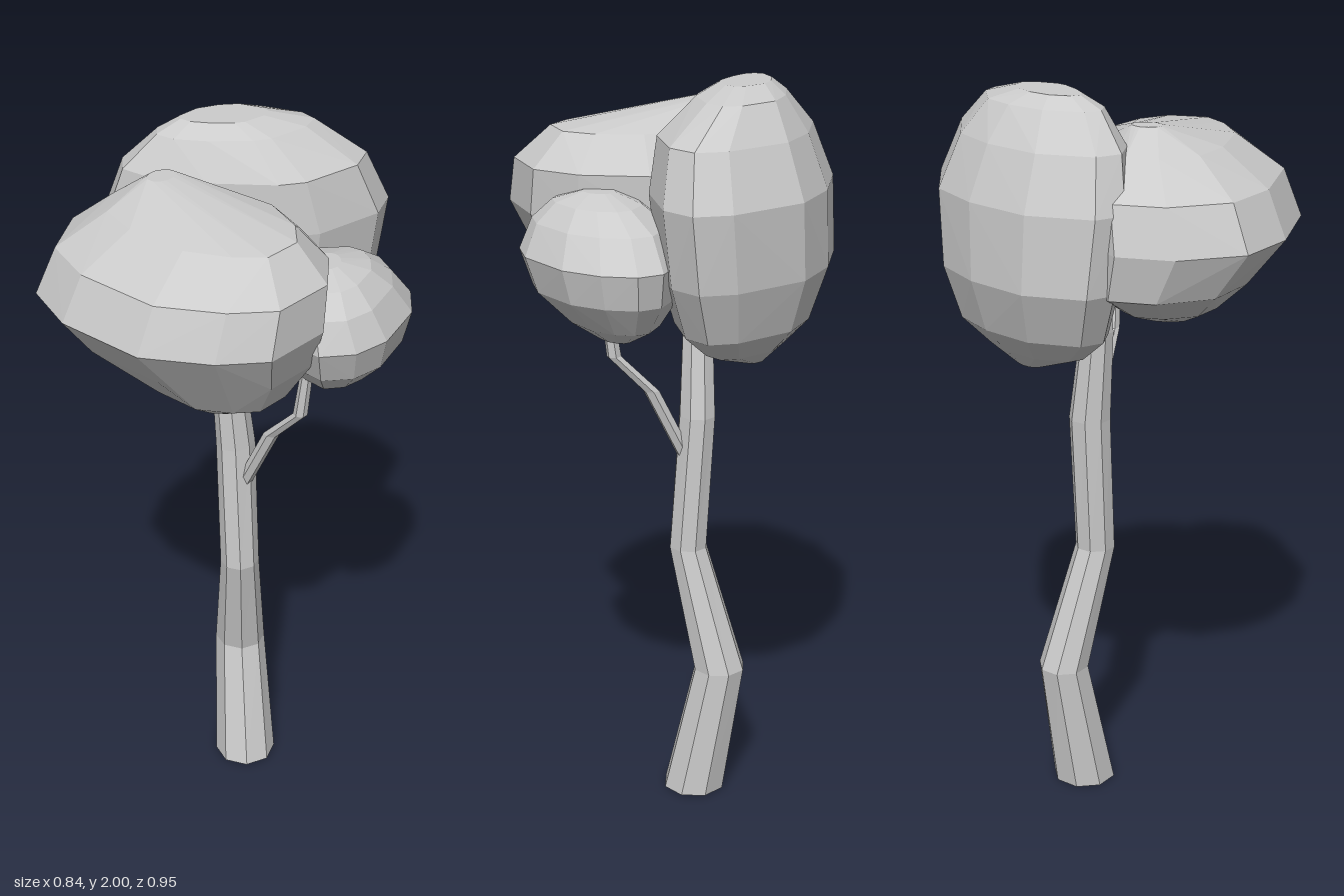
import * as THREE from 'three';
import { ConvexGeometry } from 'three/addons/geometries/ConvexGeometry.js';

const material = new THREE.MeshStandardMaterial({ color: 0xcccccc, flatShading: true });

function addMesh(group, name, geometry) {
  const mesh = new THREE.Mesh(geometry, material);
  mesh.name = name;
  group.add(mesh);
}

// Bent stem: each ring is [y, centre x, centre z, radius x, radius z], from bottom to top
function stem(rings, sides) {
  const steps = rings.length - 1;
  const geometry = new THREE.CylinderGeometry(1, 1, 1, sides, steps);
  const pos = geometry.attributes.position;
  for (let i = 0; i < pos.count; i++) {
    const [y, cx, cz, rx, rz] = rings[Math.round((pos.getY(i) + 0.5) * steps)];
    pos.setXYZ(i, cx + pos.getX(i) * rx, y, cz + pos.getZ(i) * rz);
  }
  geometry.computeVertexNormals();
  return geometry;
}

// Faceted leaf mass: one plan outline [x, z] fitted to the extents of
// each level [y, min x, max x, min z, max z], then wrapped in a hull
function leafMass(outline, levels) {
  const xs = outline.map(p => p[0]), zs = outline.map(p => p[1]);
  const minX = Math.min(...xs), maxX = Math.max(...xs);
  const minZ = Math.min(...zs), maxZ = Math.max(...zs);
  const points = [];
  for (const [y, x0, x1, z0, z1] of levels) {
    for (const [x, z] of outline) {
      points.push(new THREE.Vector3(
        THREE.MathUtils.mapLinear(x, minX, maxX, x0, x1), y,
        THREE.MathUtils.mapLinear(z, minZ, maxZ, z0, z1)));
    }
  }
  return new ConvexGeometry(points);
}

export function createModel() {
  const tree = new THREE.Group();
  tree.name = 'tree';

  // Crooked trunk, its top hidden in the leaves
  addMesh(tree, 'trunk', stem([
    [0, -0.045, -0.078, 0.087, 0.088],
    [0.375, -0.103, -0.12, 0.072, 0.07],
    [0.72, -0.038, -0.045, 0.053, 0.055],
    [1.1, -0.06, -0.053, 0.05, 0.057],
    [1.35, -0.07, -0.03, 0.042, 0.045],
    [1.44, -0.07, -0.03, 0.035, 0.038],
  ], 8));

  // Thin side branch reaching the small leaf mass
  addMesh(tree, 'branch', stem([
    [0.99, -0.025, -0.05, 0.022, 0.02],
    [1.18, 0.07, -0.05, 0.022, 0.02],
    [1.285, 0.172, -0.045, 0.02, 0.018],
    [1.46, 0.197, -0.045, 0.015, 0.016],
  ], 6));

  // Broad front leaf mass
  addMesh(tree, 'frontLeaves', leafMass([
    [-0.4, 0.25], [-0.31, 0.41], [-0.15, 0.475], [0.1, 0.475], [0.26, 0.38], [0.35, 0.28],
    [0.35, 0.09], [0.26, -0.03], [0.09, -0.12], [-0.15, -0.1], [-0.32, 0.02], [-0.4, 0.1],
  ], [
    [1.365, 0.0, 0.13, 0.06, 0.2],
    [1.42, -0.15, 0.23, -0.02, 0.28],
    [1.53, -0.38, 0.3, -0.1, 0.38],
    [1.65, -0.405, 0.35, -0.12, 0.475],
    [1.77, -0.37, 0.345, -0.12, 0.425],
    [1.86, -0.26, 0.26, -0.03, 0.3],
    [1.92, -0.18, -0.12, 0.08, 0.16],
  ]));

  // Tall rear leaf mass, a thick disc set on the diagonal
  addMesh(tree, 'rearLeaves', leafMass([
    [0.015, -0.475], [0.115, -0.46], [0.155, -0.365], [0.12, -0.17], [0.07, -0.1], [-0.1, 0.03],
    [-0.25, 0.11], [-0.36, 0.12], [-0.42, 0.06], [-0.415, -0.12], [-0.32, -0.29], [-0.2, -0.41],
  ], [
    [1.28, -0.2, -0.14, -0.22, -0.15],
    [1.33, -0.28, 0.0, -0.32, -0.02],
    [1.4, -0.36, 0.08, -0.41, 0.05],
    [1.54, -0.42, 0.13, -0.46, 0.09],
    [1.74, -0.415, 0.155, -0.475, 0.115],
    [1.88, -0.36, 0.12, -0.41, 0.095],
    [1.97, -0.28, 0.0, -0.32, 0.03],
    [2.0, -0.24, -0.08, -0.22, -0.03],
  ]));

  // Small side leaf mass above the branch
  addMesh(tree, 'sideLeaves', leafMass([
    [0.22, -0.37], [0.3, -0.325], [0.37, -0.24], [0.415, -0.08], [0.4, 0.02], [0.34, 0.09],
    [0.22, 0.08], [0.1, 0.0], [0.04, -0.12], [0.06, -0.26], [0.15, -0.36],
  ], [
    [1.365, 0.16, 0.24, -0.2, -0.1],
    [1.41, 0.1, 0.31, -0.29, -0.02],
    [1.49, 0.05, 0.39, -0.35, 0.06],
    [1.58, 0.04, 0.417, -0.37, 0.095],
    [1.66, 0.06, 0.38, -0.3, 0.08],
    [1.71, 0.12, 0.33, -0.22, 0.03],
    [1.735, 0.18, 0.26, -0.12, -0.04],
  ]));

  return tree;
}
